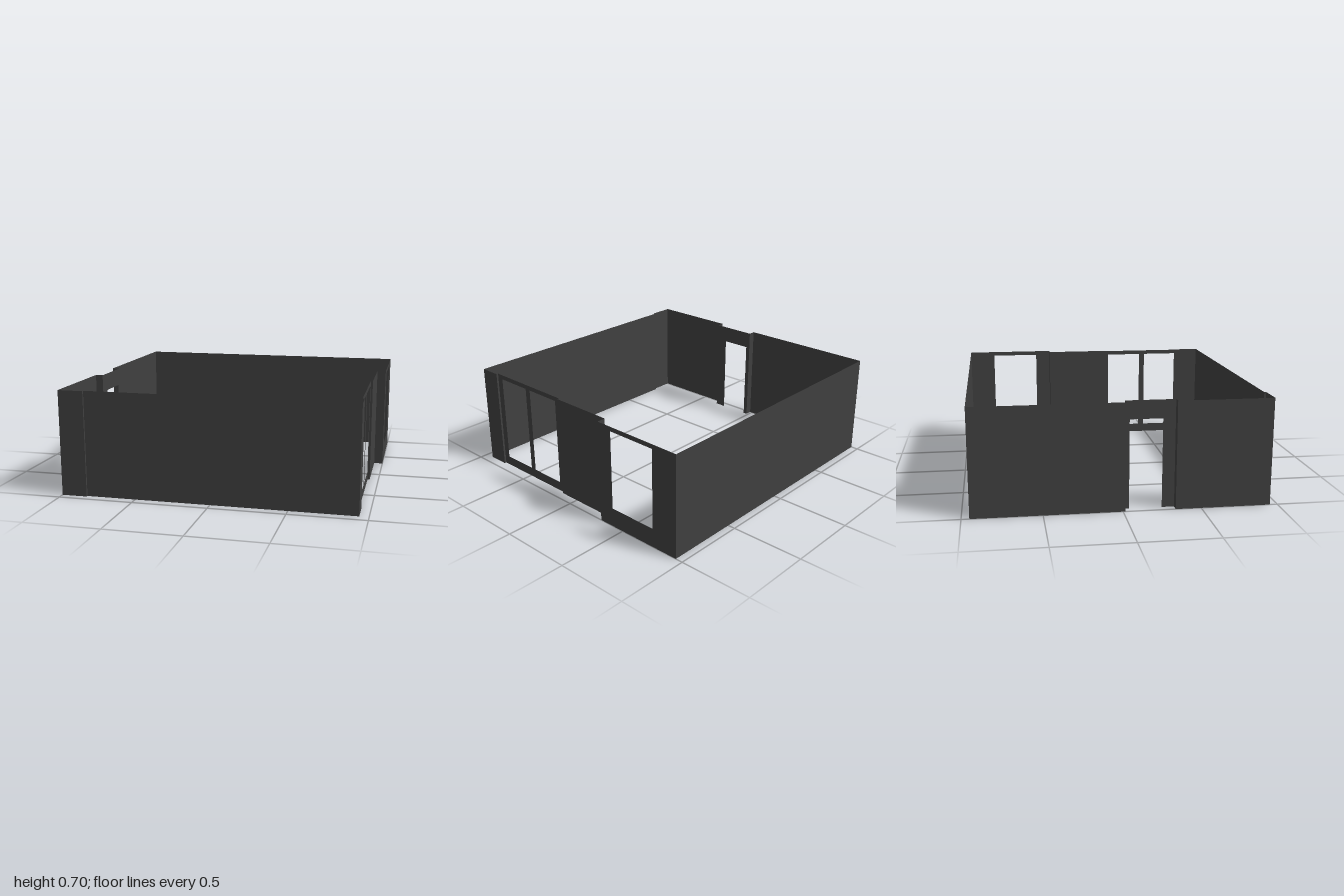
import * as THREE from 'three';

const HEIGHT = 0.7;

export function createModel() {
  const room = new THREE.Group();
  room.name = 'roomWalls';
  const material = new THREE.MeshStandardMaterial({ color: 0x404040, side: THREE.DoubleSide });

  // Flat upright panel from a to b ([x, z]); holes are [start, end, bottom, top] along it
  function wall(name, a, b, holes = []) {
    const dx = b[0] - a[0], dz = b[1] - a[1];
    const length = Math.hypot(dx, dz);
    const rect = (Type, s0, s1, y0, y1) => new Type([
      new THREE.Vector2(s0, y0), new THREE.Vector2(s1, y0),
      new THREE.Vector2(s1, y1), new THREE.Vector2(s0, y1),
    ]);
    // A hole reaching the ground becomes a notch in the outline
    const door = holes.find((h) => h[2] === 0);
    let shape;
    if (door) {
      const [s0, s1, , top] = door;
      shape = new THREE.Shape([[0, 0], [s0, 0], [s0, top], [s1, top], [s1, 0],
        [length, 0], [length, HEIGHT], [0, HEIGHT]].map((p) => new THREE.Vector2(...p)));
    } else {
      shape = rect(THREE.Shape, 0, length, 0, HEIGHT);
      for (const h of holes) shape.holes.push(rect(THREE.Path, ...h));
    }
    const mesh = new THREE.Mesh(new THREE.ShapeGeometry(shape), material);
    mesh.name = name;
    mesh.position.set(a[0], 0, a[1]);
    mesh.rotation.y = Math.atan2(-dz, dx);
    room.add(mesh);
  }

  // Front wall with a slightly proud end strip
  wall('frontEndStrip', [-1, 0.95], [-0.83, 0.95]);
  wall('frontStep', [-0.83, 0.95], [-0.83, 0.937]);
  wall('frontWall', [-0.83, 0.937], [0.94, 0.937]);

  // Window side: corner strip, recessed double glass door, plain panel, window panel
  wall('cornerStrip', [0.94, 0.937], [0.94, 0.79]);
  wall('glassDoorReveal', [0.94, 0.79], [0.926, 0.79]);
  wall('glassDoorFrame', [0.926, 0.79], [0.926, 0.14],
    [[0.045, 0.303, 0.065, 0.67], [0.345, 0.608, 0.065, 0.67]]);
  wall('glassDoorReveal', [0.926, 0.14], [0.94, 0.14]);
  wall('sidePanel', [0.94, 0.14], [0.94, -0.305]);
  wall('sideStep', [0.94, -0.305], [1, -0.305]);
  wall('windowWall', [1, -0.305], [1, -0.95], [[0.11, 0.457, 0.13, 0.67]]);

  // Back wall
  wall('backWall', [1, -0.95], [-1, -0.95]);

  // Entrance side: wall, recessed doorway, wall
  wall('entranceWall', [-1, -0.95], [-1, 0.015]);
  wall('doorwayReveal', [-1, 0.015], [-0.95, 0.015]);
  wall('doorway', [-0.95, 0.015], [-0.95, 0.335], [[0.03, 0.24, 0, 0.58]]);
  wall('doorwayReveal', [-0.95, 0.335], [-1, 0.335]);
  wall('entranceWall', [-1, 0.335], [-1, 0.95]);

  return room;
}
